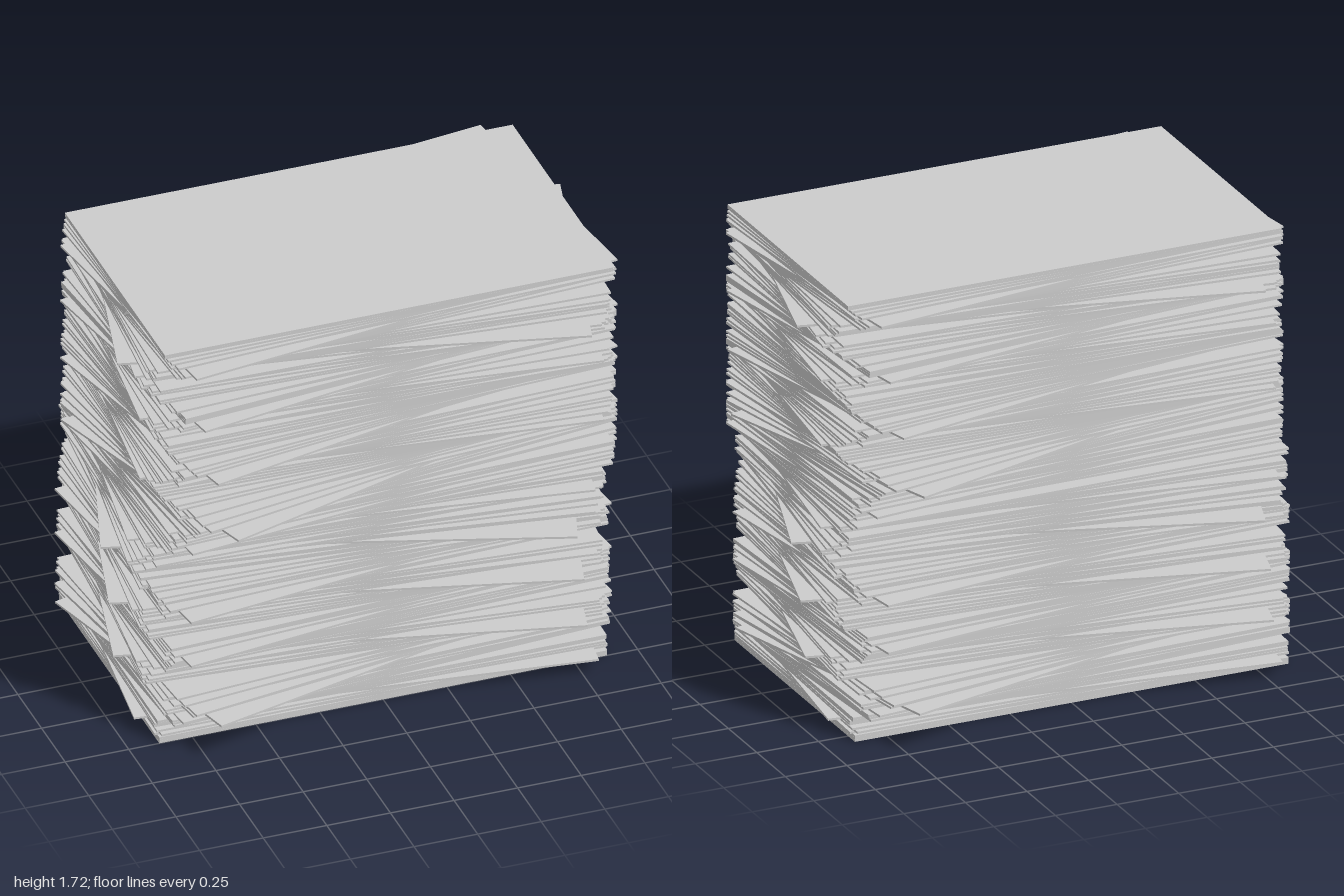
import * as THREE from 'three';

// Small seeded generator for the shuffled look of the stack
function seeded(seed) {
  return () => {
    seed = (seed * 1664525 + 1013904223) % 4294967296;
    return seed / 4294967296;
  };
}

// Twisted bands of sheets: height of centre, strongest turn in degrees, half height of band
const BANDS = [
  [0.06, -7, 0.02], [0.16, 15, 0.065], [0.27, -13.5, 0.05], [0.38, 8, 0.06],
  [0.49, -15, 0.06], [0.57, 8, 0.02], [0.70, -18, 0.07], [0.81, -9, 0.05],
  [0.90, 7, 0.05], [1.01, 17.5, 0.07], [1.13, -7, 0.04], [1.23, 13, 0.06],
  [1.39, -7, 0.06], [1.45, 10, 0.05], [1.57, -14, 0.06], [1.66, 8, 0.03],
];

const COUNT = 200;
const HEIGHT = 1.72;
const STEP = HEIGHT / COUNT;

export function createModel() {
  const model = new THREE.Group();
  model.name = 'sheetStack';
  const material = new THREE.MeshStandardMaterial({ color: 0xcccccc });
  const sheetGeometry = new THREE.BoxGeometry(1.76, STEP * 0.98, 1.06);
  const random = seeded(11);

  // Two bundles, one on the other, shifted slightly along z
  const bundles = ['lowerBundle', 'upperBundle'].map((name, i) => {
    const bundle = new THREE.Group();
    bundle.name = name;
    bundle.position.z = i ? 0.03 : -0.03;
    model.add(bundle);
    return bundle;
  });

  for (let i = 0; i < COUNT; i++) {
    const y = (i + 0.5) * STEP;
    let degrees = (random() - 0.5) * 3;

    // Turn the sheets inside a band, with the centre sheet turned furthest
    for (const [centre, turn, half] of BANDS) {
      const distance = Math.abs(y - centre);
      if (distance <= STEP / 2) {
        degrees = turn;
        break;
      }
      if (distance < half) {
        degrees = turn * (0.08 + 0.65 * random()) * (1 - 0.5 * distance / half);
      }
    }
    // The bottom and top sheets lie square
    if (i < 3 || i > COUNT - 3) degrees = 0;

    const sheet = new THREE.Mesh(sheetGeometry, material);
    sheet.name = `sheet${i + 1}`;
    sheet.position.y = y;
    sheet.rotation.y = THREE.MathUtils.degToRad(degrees);
    bundles[i < COUNT / 2 ? 0 : 1].add(sheet);
  }
  return model;
}
